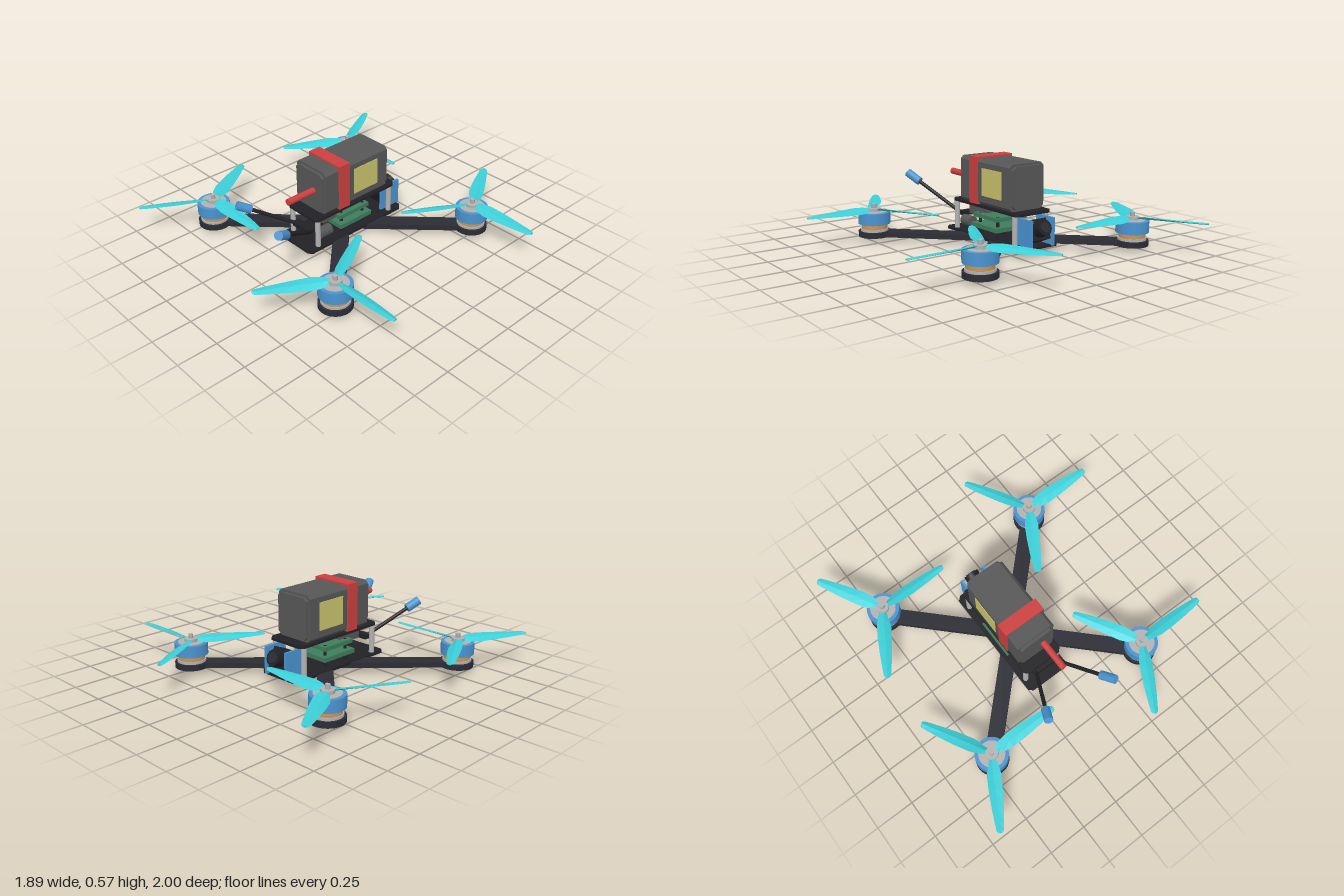
import * as THREE from 'three';

const mat = (name, color, side = THREE.FrontSide) => {
  const m = new THREE.MeshStandardMaterial({ color, side });
  m.name = name;
  return m;
};
const M = {
  carbon: mat('carbon', 0x2c2c35), black: mat('black', 0x222226), blue: mat('anodised blue', 0x4a94d0),
  teal: mat('propeller teal', 0x3ccfd8), silver: mat('silver', 0xb2b2b2), grey: mat('battery grey', 0x575757),
  red: mat('red', 0xcc4040), yellow: mat('label yellow', 0xc9c36c), green: mat('board green', 0x3d7d5c),
  copper: mat('copper', 0xc6975c),
};
const CX = -0.11; // centre line of the airframe

function add(parent, name, geo, material, x = 0, y = 0, z = 0) {
  const mesh = new THREE.Mesh(geo, material);
  mesh.name = name;
  mesh.position.set(x, y, z);
  parent.add(mesh);
  return mesh;
}
const box = (w, h, d) => new THREE.BoxGeometry(w, h, d);
const cyl = (r, h, n = 24) => new THREE.CylinderGeometry(r, r, h, n);

// Cylinder between two points
function rod(parent, name, a, b, r, material) {
  const d = b.clone().sub(a);
  const m = add(parent, name, cyl(r, d.length(), 16), material);
  m.position.copy(a).addScaledVector(d, 0.5);
  m.quaternion.setFromUnitVectors(new THREE.Vector3(0, 1, 0), d.normalize());
  return m;
}

// Chamfered rectangle extruded along z, centred on its depth
function chamferBlock(w, h, d, c) {
  const x = w / 2, y = h / 2;
  const s = new THREE.Shape([[-x + c, -y], [x - c, -y], [x, -y + c], [x, y - c], [x - c, y], [-x + c, y], [-x, y - c], [-x, -y + c]]
    .map(p => new THREE.Vector2(...p)));
  return new THREE.ExtrudeGeometry(s, { depth: d, bevelEnabled: false }).translate(0, 0, -d / 2);
}
const plate = (w, l, t, c) => chamferBlock(w, l, t, c).rotateX(-Math.PI / 2);

// Twisted blade along +x, from [radius, half chord, z offset, pitch] sections
function bladeGeometry(spin) {
  const sections = [[0.035, 0.022, 0, 0.42], [0.07, 0.036, 0, 0.4], [0.13, 0.046, 0, 0.34], [0.22, 0.044, 0, 0.26],
    [0.32, 0.037, 0, 0.2], [0.41, 0.028, 0, 0.15], [0.455, 0.022, 0, 0.12], [0.467, 0.014, 0, 0.12]];
  const pos = [], idx = [];
  for (const [r, c, off, pitch] of sections) {
    const a = pitch * spin;
    for (const [u, v] of [[-c, 0], [0, 0.007], [c, 0], [0, -0.005]]) {
      pos.push(r, v * Math.cos(a) + u * Math.sin(a), off + u * Math.cos(a) - v * Math.sin(a));
    }
  }
  for (let i = 0; i < sections.length - 1; i++) {
    for (let k = 0; k < 4; k++) {
      const a = i * 4 + k, b = i * 4 + (k + 1) % 4;
      idx.push(a, b, a + 4, b, b + 4, a + 4);
    }
  }
  const e = (sections.length - 1) * 4;
  idx.push(0, 2, 1, 0, 3, 2, e, e + 1, e + 2, e, e + 2, e + 3);
  const g = new THREE.BufferGeometry();
  g.setAttribute('position', new THREE.Float32BufferAttribute(pos, 3));
  g.setIndex(idx);
  const flat = g.toNonIndexed();
  flat.computeVertexNormals();
  return flat;
}

// Motor with three-bladed propeller
function motor(spin) {
  const g = new THREE.Group();
  g.name = 'motor';
  add(g, 'motorBase', cyl(0.09, 0.016, 32), M.silver, 0, 0.077, 0);
  add(g, 'stator', cyl(0.083, 0.036, 32), M.copper, 0, 0.101, 0);
  add(g, 'bell', cyl(0.104, 0.075, 32), M.blue, 0, 0.155, 0);
  add(g, 'bellCap', cyl(0.082, 0.005, 32), M.silver, 0, 0.194, 0);
  add(g, 'propHub', cyl(0.04, 0.022), M.silver, 0, 0.206, 0);
  add(g, 'propNut', cyl(0.016, 0.032, 6), M.silver, 0, 0.229, 0);
  const geo = bladeGeometry(spin);
  for (let i = 0; i < 3; i++) {
    add(g, 'propBlade', geo, M.teal, 0, 0.207, 0).rotation.y = i * Math.PI * 2 / 3;
  }
  return g;
}

export function createModel() {
  const root = new THREE.Group();
  root.name = 'quadcopter';
  const drone = new THREE.Group();
  drone.name = 'airframe';
  drone.position.x = CX;
  root.add(drone);

  // Arms and motors
  const off = 0.587, len = off * Math.SQRT2;
  for (const sx of [-1, 1]) for (const sz of [-1, 1]) {
    const arm = add(drone, 'arm', box(len, 0.035, 0.1), M.carbon, sx * off / 2, 0.0515, sz * off / 2);
    arm.rotation.y = -Math.atan2(sz, sx);
    add(drone, 'motorMount', cyl(0.104, 0.036, 32), M.carbon, sx * off, 0.0515, sz * off);
    const m = motor(sx * sz);
    m.position.set(sx * off, 0, sz * off);
    drone.add(m);
  }

  // Frame plates, standoffs and centre bolt
  add(drone, 'bottomPlate', plate(0.3, 0.8, 0.016, 0.025), M.black, 0, 0.066, 0);
  add(drone, 'topPlate', plate(0.28, 0.68, 0.016, 0.025), M.black, 0, 0.265, 0);
  for (const sx of [-1, 1]) for (const z of [-0.3, 0.31]) {
    add(drone, 'standoff', cyl(0.017, 0.186, 16), M.silver, sx * 0.12, 0.165, z);
  }
  add(drone, 'centreBoltHead', cyl(0.05, 0.045), M.black, 0, 0.0225, 0);
  add(drone, 'centreBolt', cyl(0.025, 0.06), M.black, 0, 0.065, 0);

  // Electronics stack
  add(drone, 'speedController', box(0.265, 0.028, 0.265), M.green, 0, 0.133, 0);
  add(drone, 'flightController', box(0.24, 0.026, 0.245), M.green, 0, 0.196, 0.005);
  for (const sx of [-1, 1]) for (const sz of [-1, 1]) {
    add(drone, 'stackPost', cyl(0.01, 0.14, 10), M.black, sx * 0.09, 0.14, sz * 0.09);
  }
  add(drone, 'videoTransmitter', box(0.16, 0.055, 0.18), M.grey, 0, 0.208, 0.14);
  add(drone, 'capacitor', cyl(0.036, 0.09), M.grey, 0.085, 0.13, 0.23).rotation.x = Math.PI / 2;

  // Battery, strap, labels and lead
  add(drone, 'battery', chamferBlock(0.262, 0.29, 0.51, 0.02), M.grey, 0, 0.418, -0.005);
  add(drone, 'batteryEndCaps', chamferBlock(0.235, 0.262, 0.55, 0.02), M.grey, 0, 0.418, -0.005);
  add(drone, 'batteryStrap', box(0.28, 0.302, 0.085), M.red, 0, 0.423, 0.103);
  for (const sx of [-1, 1]) {
    add(drone, 'batteryLabel', box(0.006, 0.175, 0.2), M.yellow, sx * 0.132, 0.422, -0.08);
  }
  rod(drone, 'batteryLead', new THREE.Vector3(0.042, 0.422, 0.26), new THREE.Vector3(0.042, 0.422, 0.472), 0.021, M.red);

  // Tilted camera between two side plates
  for (const sx of [-1, 1]) {
    add(drone, 'cameraPlate', box(0.016, 0.175, 0.16), M.blue, sx * 0.085, 0.157, -0.34);
  }
  const cam = new THREE.Group();
  cam.name = 'camera';
  cam.position.set(0, 0.155, -0.335);
  cam.rotation.x = 0.4;
  add(cam, 'cameraBody', box(0.15, 0.13, 0.1), M.black);
  add(cam, 'lensBarrel', cyl(0.05, 0.065), M.black, 0, 0, -0.08).rotation.x = Math.PI / 2;
  add(cam, 'lensGlass', cyl(0.033, 0.008), M.carbon, 0, 0, -0.114).rotation.x = Math.PI / 2;
  drone.add(cam);

  // Antennas
  add(drone, 'antennaMount', box(0.15, 0.03, 0.05), M.black, 0, 0.163, 0.325);
  for (const [base, mid, tip] of [
    [[-0.06, 0.17, 0.34], [-0.18, 0.32, 0.585], [-0.215, 0.364, 0.66]],
    [[0.08, 0.17, 0.34], [0.21, 0.345, 0.625], [0.25, 0.399, 0.71]],
  ].map(a => a.map(p => new THREE.Vector3(...p)))) {
    rod(drone, 'antennaRod', base, mid, 0.012, M.black);
    rod(drone, 'antennaTip', mid, tip, 0.028, M.blue);
  }
  return root;
}
